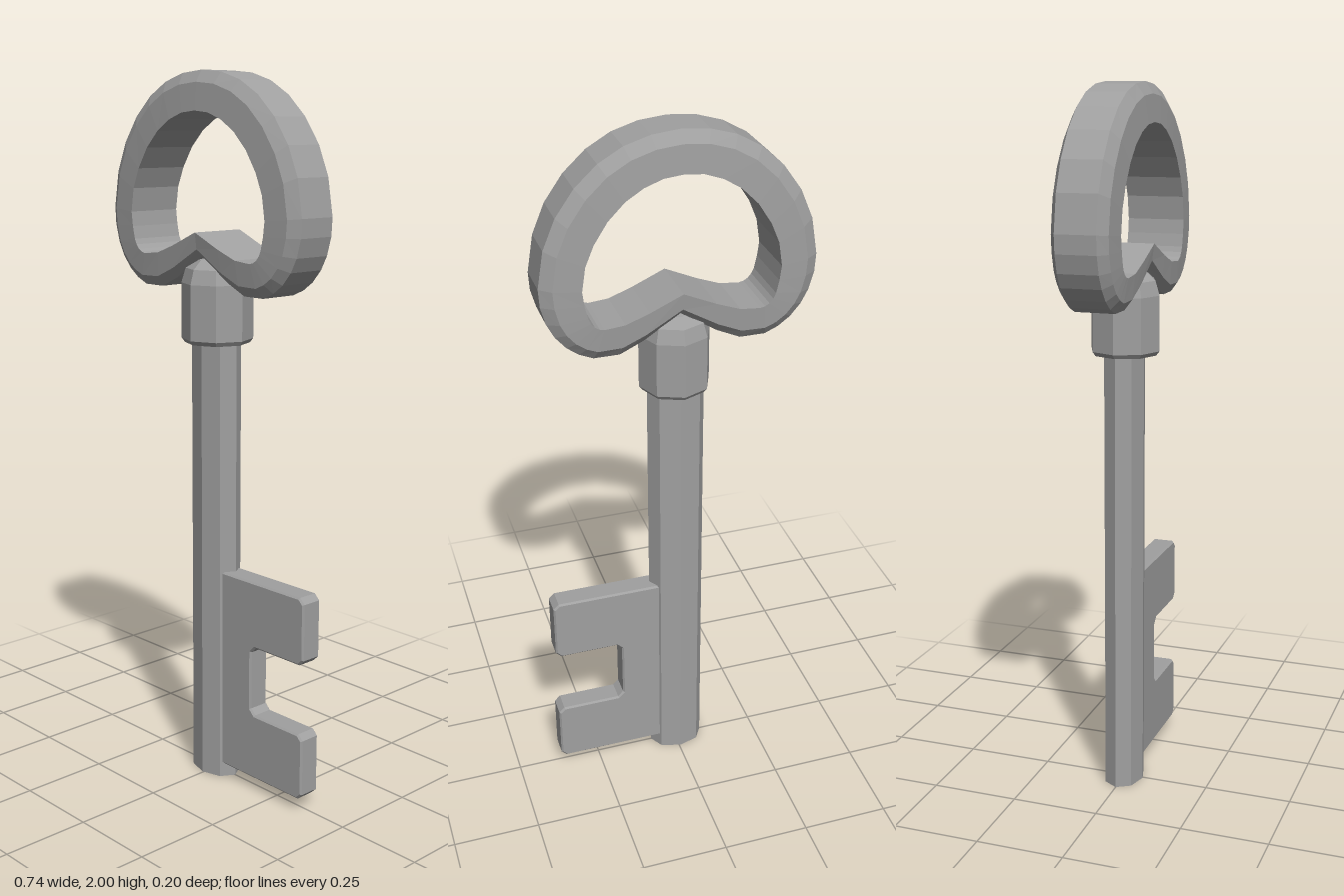
import * as THREE from 'three';

const material = new THREE.MeshStandardMaterial({ color: 0xa0a0a0, flatShading: true });

function add(group, name, geometry) {
  const mesh = new THREE.Mesh(geometry, material);
  mesh.name = name;
  group.add(mesh);
}

// Close a right-hand half outline (top to bottom) by mirroring it in x
function mirrorOutline(half) {
  const left = half.slice(1, -1).reverse().map(([x, y]) => [-x, y]);
  return [...half, ...left];
}

// Bow: a bevelled band between an outer and an inner outline
function bowGeometry() {
  const outer = mirrorOutline([
    [0, 2], [0.075, 1.993], [0.145, 1.972], [0.21, 1.935], [0.27, 1.88], [0.32, 1.81], [0.354, 1.73], [0.371, 1.63],
    [0.368, 1.58], [0.354, 1.53], [0.334, 1.492], [0.305, 1.458], [0.272, 1.434], [0.235, 1.418],
    [0.165, 1.418], [0.1, 1.448], [0, 1.512],
  ]);
  const inner = mirrorOutline([
    [0, 1.895], [0.052, 1.89], [0.102, 1.872], [0.15, 1.842], [0.195, 1.797], [0.232, 1.74], [0.255, 1.685], [0.265, 1.62],
    [0.26, 1.58], [0.252, 1.545], [0.245, 1.53], [0.235, 1.518], [0.223, 1.511], [0.21, 1.508],
    [0.155, 1.513], [0.09, 1.537], [0, 1.577],
  ]);
  // Cross-section: [share of the way from outer to inner, z]
  const section = [[0, 0.056], [0.3, 0.077], [1, 0.083], [1, -0.083], [0.3, -0.077], [0, -0.056]];
  const n = outer.length, m = section.length;
  const positions = [], index = [];
  for (let i = 0; i < n; i++) {
    for (const [t, z] of section) {
      positions.push(
        THREE.MathUtils.lerp(outer[i][0], inner[i][0], t),
        THREE.MathUtils.lerp(outer[i][1], inner[i][1], t), z);
    }
    for (let j = 0; j < m; j++) {
      const a = i * m + j, b = i * m + (j + 1) % m;
      const c = ((i + 1) % n) * m + j, d = ((i + 1) % n) * m + (j + 1) % m;
      index.push(a, b, c, b, d, c);
    }
  }
  const geometry = new THREE.BufferGeometry();
  geometry.setAttribute('position', new THREE.Float32BufferAttribute(positions, 3));
  geometry.setIndex(index);
  geometry.computeVertexNormals();
  return geometry;
}

// Bit: a plate with a notch between two teeth, corners cut
function bitGeometry() {
  const b = 0.005, c = 0.016, depth = 0.066, tip = 0.373, root = 0.172;
  const points = [
    [0.03, 0.04], [tip - c, 0.04], [tip, 0.04 + c], [tip, 0.232 - c], [tip - c, 0.232],
    [root + c, 0.232], [root, 0.232 + c], [root, 0.433 - c], [root + c, 0.433],
    [tip - c, 0.433], [tip, 0.433 + c], [tip, 0.625 - c], [tip - c, 0.625], [0.03, 0.625],
  ];
  const shape = new THREE.Shape(points.map(([x, y]) => new THREE.Vector2(x, y)));
  const geometry = new THREE.ExtrudeGeometry(shape, {
    depth: depth - 2 * b, bevelThickness: b, bevelSize: b, bevelOffset: -b, bevelSegments: 1,
  });
  return geometry.translate(0, 0, b - depth / 2);
}

export function createModel() {
  const key = new THREE.Group();
  key.name = 'key';

  add(key, 'bow', bowGeometry());

  // Collar: eight-sided, bevelled below and drawn in under the bow
  const profile = [[0, 1.272], [0.09, 1.272], [0.099, 1.284], [0.099, 1.437], [0.087, 1.477], [0.06, 1.502], [0, 1.511]];
  add(key, 'collar', new THREE.LatheGeometry(profile.map(([x, y]) => new THREE.Vector2(x, y)), 8));

  // Shaft: eight-sided and flattened front to back
  const shaft = new THREE.CylinderGeometry(1, 1, 1.3, 8);
  shaft.scale(0.081, 1, 0.056).translate(-0.004, 0.65, 0);
  add(key, 'shaft', shaft);

  add(key, 'bit', bitGeometry());
  return key;
}
